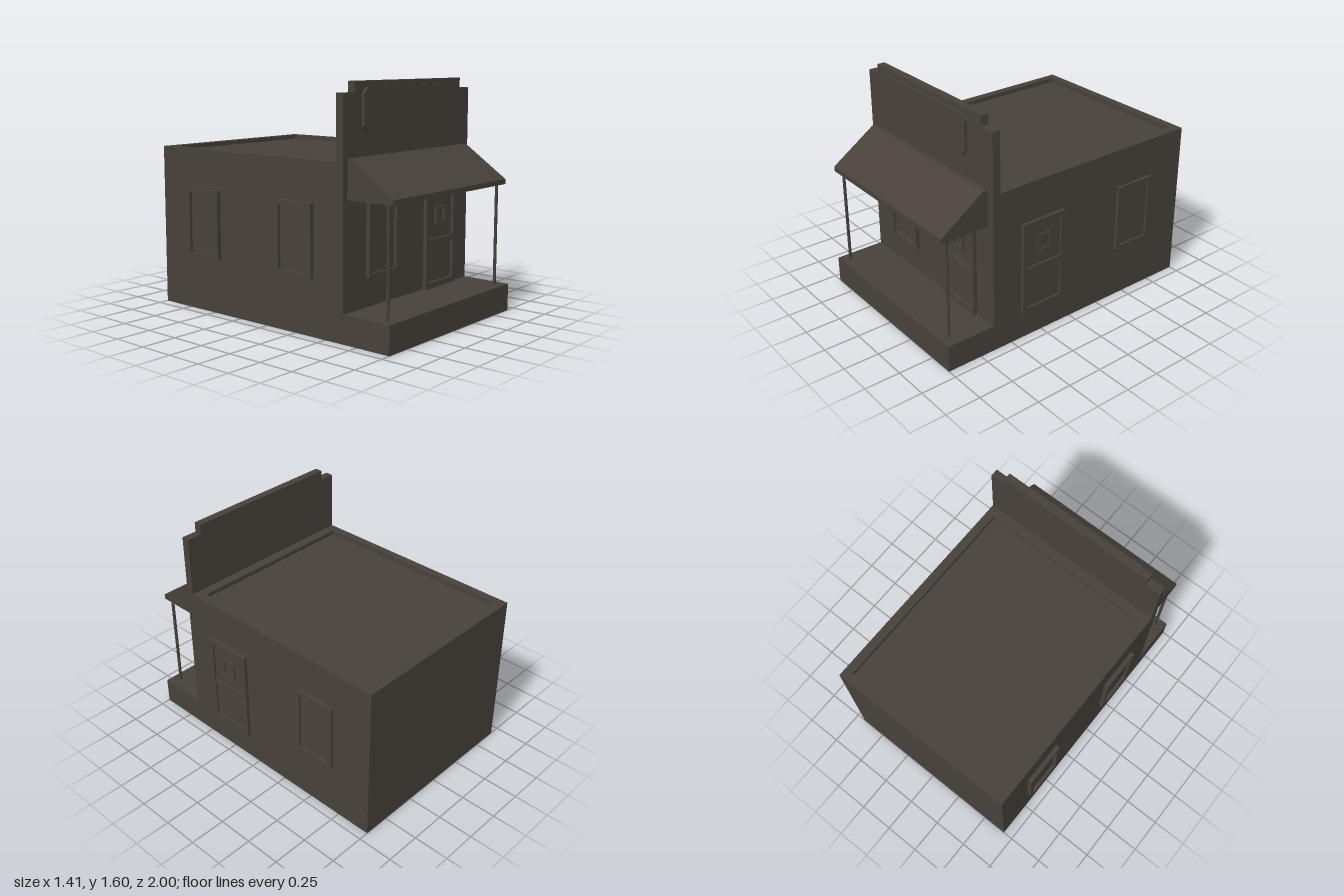
import * as THREE from 'three';

const timber = new THREE.MeshStandardMaterial({ color: 0x47413a });
timber.name = 'dark timber';

const WALL_L = 0.682, WALL_R = -0.678, FRONT = 0.645, FLOOR = 0.187, ROOF = 1.12;

function mesh(name, geometry, parent) {
  const m = new THREE.Mesh(geometry, timber);
  m.name = name;
  parent.add(m);
  return m;
}

// Box given by its limits on each axis
function box(name, x0, x1, y0, y1, z0, z1, parent) {
  const m = mesh(name, new THREE.BoxGeometry(x1 - x0, y1 - y0, z1 - z0), parent);
  m.position.set((x0 + x1) / 2, (y0 + y1) / 2, (z0 + z1) / 2);
  return m;
}

function outline(points, Type = THREE.Shape) {
  return new Type(points.map(([x, y]) => new THREE.Vector2(x, y)));
}

const rect = ([x0, x1, y0, y1]) => [[x0, y0], [x1, y0], [x1, y1], [x0, y1]];

// Flat slab with rectangular openings
function slab(outer, holes, depth) {
  const shape = outline(outer);
  for (const h of holes) shape.holes.push(outline(rect(h).reverse(), THREE.Path));
  return new THREE.ExtrudeGeometry(shape, { depth, bevelEnabled: false });
}

// Raised frame around a recessed pane, centred on u = 0
function makeWindow(depth) {
  const g = new THREE.Group();
  g.name = 'window';
  mesh('windowFrame', slab(rect([-0.152, 0.152, 0.377, 0.852]), [[-0.126, 0.126, 0.402, 0.823]], depth), g);
  box('windowPane', -0.126, 0.126, 0.402, 0.823, 0, 0.008, g);
  return g;
}

// Door with two sunken panels and a small framed light, centred on u = 0
function makeDoor(depth) {
  const g = new THREE.Group();
  g.name = 'door';
  const upper = [-0.144, 0.142, 0.527, 0.813], lower = [-0.142, 0.142, 0.228, 0.488];
  mesh('doorFrame', slab(rect([-0.172, 0.172, FLOOR, 0.852]), [upper, lower], depth), g);
  box('upperPanel', ...upper, 0, 0.008, g);
  box('lowerPanel', ...lower, 0, 0.008, g);
  const light = mesh('doorLightFrame',
    slab(rect([-0.056, 0.056, 0.615, 0.738]), [[-0.041, 0.041, 0.63, 0.723]], depth - 0.01), g);
  light.position.z = 0.006;
  return g;
}

export function createModel() {
  const model = new THREE.Group();
  model.name = 'storefront';

  // Main building with a sunken flat roof
  box('building', WALL_R, WALL_L, 0, ROOF - 0.03, -1, 0.59, model);
  const rim = mesh('roofRim', slab(rect([WALL_R, WALL_L, -0.59, 1]), [[-0.62, 0.62, -0.522, 0.94]], 0.03), model);
  rim.rotation.x = -Math.PI / 2;
  rim.position.y = ROOF - 0.03;

  // Stepped false front
  const facade = mesh('falseFront', slab([
    [WALL_R, 0], [WALL_L, 0], [WALL_L, 1.532], [0.572, 1.532],
    [0.572, 1.6], [-0.568, 1.6], [-0.568, 1.532], [WALL_R, 1.532],
  ], [], FRONT - 0.59), model);
  facade.position.z = 0.59;

  // Blank sign board with clipped corners
  const l = -0.5, r = 0.432, b = 1.29, t = 1.562, c = 0.036;
  const sign = mesh('signBoard', slab([
    [l + c, b], [r - c, b], [r, b + c], [r, t - c],
    [r - c, t], [l + c, t], [l, t - c], [l, b + c],
  ], [], 0.02), model);
  sign.position.z = FRONT;

  // Porch floor and thin posts
  box('porch', WALL_R, WALL_L, 0, FLOOR, FRONT, 1, model);
  for (const x of [-0.612, 0.601]) {
    const post = mesh('porchPost', new THREE.CylinderGeometry(0.011, 0.011, 0.89 - FLOOR, 8).toNonIndexed(), model);
    post.position.set(x, (0.89 + FLOOR) / 2, 0.938);
  }

  // Awning: side profile drawn in (-z, y), extruded along x
  const awning = mesh('awning', slab([
    [-0.99, 0.888], [-FRONT, 0.888], [-FRONT, 1.14], [-0.675, 1.14], [-0.99, 0.922],
  ], [], 1.265), model);
  awning.rotation.y = Math.PI / 2;
  awning.position.x = -0.638;

  // Front openings
  const frontWindow = makeWindow(0.028);
  frontWindow.position.set(-0.301, 0, FRONT);
  const frontDoor = makeDoor(0.028);
  frontDoor.position.set(0.335, 0, FRONT);

  // Left wall: door and window
  const sideDoor = makeDoor(0.023);
  sideDoor.position.set(WALL_L, 0, 0.252);
  const sideWindow = makeWindow(0.023);
  sideWindow.position.set(WALL_L, 0, -0.55);
  sideDoor.rotation.y = sideWindow.rotation.y = Math.PI / 2;
  model.add(frontWindow, frontDoor, sideDoor, sideWindow);

  // Right wall: two windows
  for (const z of [-0.58, 0.257]) {
    const w = makeWindow(0.031);
    w.rotation.y = -Math.PI / 2;
    w.position.set(WALL_R, 0, z);
    model.add(w);
  }
  return model;
}
